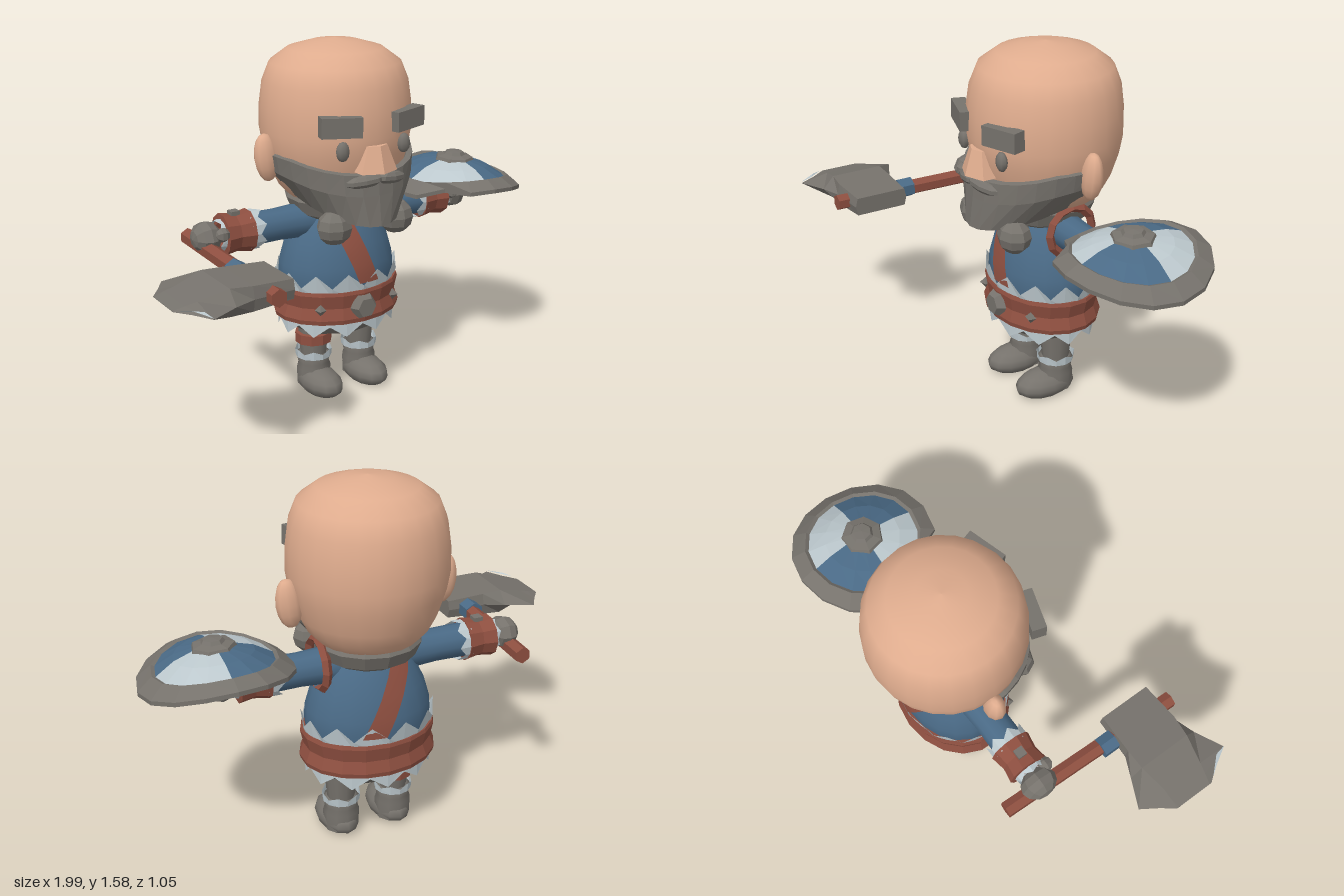
import * as THREE from 'three';

const CX = 0.04, CZ = -0.2; // body axis
const mat = (name, color) => new THREE.MeshStandardMaterial({ name, color, side: THREE.DoubleSide });
const V2 = (pts) => pts.map(([x, y]) => new THREE.Vector2(x, y));

// faceted copy of a geometry
function flat(geo) {
  const g = geo.index ? geo.toNonIndexed() : geo;
  g.computeVertexNormals();
  return g;
}
function lathe(pts, seg, start = 0, len = Math.PI * 2) {
  return new THREE.LatheGeometry(V2(pts), seg, start, len);
}
// surface through rows of points
function grid(rows, closed = false) {
  const n = rows[0].length, idx = [];
  for (let i = 0; i < rows.length - 1; i++) {
    for (let j = 0; j < (closed ? n : n - 1); j++) {
      const a = i * n + j, b = i * n + (j + 1) % n;
      idx.push(a, b, a + n, b, b + n, a + n);
    }
  }
  const g = new THREE.BufferGeometry();
  g.setAttribute('position', new THREE.Float32BufferAttribute(rows.flat(2), 3));
  g.setIndex(idx);
  g.computeVertexNormals();
  return g;
}
// ring whose second edge is a row of teeth
function zigzag(n, r0, y0, r1, yLow, yTip) {
  const edge = [], teeth = [];
  for (let i = 0; i < n * 2; i++) {
    const a = i * Math.PI / n, s = Math.sin(a), c = Math.cos(a);
    edge.push([r0 * s, y0, r0 * c]);
    teeth.push([r1 * s, i % 2 ? yTip : yLow, r1 * c]);
  }
  return flat(grid([edge, teeth], true));
}
function warp(geo, fn) {
  const p = geo.attributes.position, v = new THREE.Vector3();
  for (let i = 0; i < p.count; i++) {
    fn(v.fromBufferAttribute(p, i));
    p.setXYZ(i, v.x, v.y, v.z);
  }
  geo.computeVertexNormals();
  return geo;
}

export function createModel() {
  const model = new THREE.Group();
  model.name = 'warrior';
  const skin = mat('skin', 0xdfac8e), grey = mat('grey', 0x76726c), blue = mat('blue', 0x4a6a86);
  const brown = mat('brown', 0x8e4f40), silver = mat('silver', 0xbcc8cd);
  const add = (name, geo, m, x = 0, y = 0, z = 0, parent = model) => {
    const mesh = new THREE.Mesh(geo, m);
    mesh.name = name;
    mesh.position.set(x, y, z);
    parent.add(mesh);
    return mesh;
  };

  // head
  add('head', lathe([[0, 0.86], [0.17, 0.87], [0.22, 0.92], [0.255, 0.96], [0.285, 1.02], [0.315, 1.12], [0.328, 1.2],
    [0.326, 1.3], [0.312, 1.4], [0.28, 1.48], [0.205, 1.535], [0.1, 1.565], [0, 1.577]], 24), skin, CX, 0, CZ);
  add('nose', flat(new THREE.CylinderGeometry(0.055, 0.1, 0.11, 6).scale(1, 1, 0.72)), skin, CX, 1.122, 0.108);
  for (const s of [-1, 1]) {
    const ear = add('ear', new THREE.SphereGeometry(1, 10, 8).scale(0.055, 0.105, 0.042), skin, CX + s * 0.335, 1.1, -0.208);
    ear.rotation.z = -s * 0.12;
    const brow = add('eyebrow', flat(new THREE.BoxGeometry(0.172, 0.083, 0.06)), grey, CX + s * 0.16, 1.267, 0.098);
    brow.rotation.set(0, s * 0.3, s * 0.03);
    add('eye', new THREE.SphereGeometry(1, 8, 6).scale(0.032, 0.042, 0.022), grey, CX + s * 0.15, 1.163, 0.098);
    const tache = add('moustache', flat(new THREE.SphereGeometry(1, 8, 5).scale(0.085, 0.027, 0.03)), grey, CX + s * 0.065, 1.035, 0.132);
    tache.rotation.set(0, s * 0.25, -s * 0.1);
    add('braid', flat(new THREE.SphereGeometry(1, 8, 6).scale(0.08, 0.075, 0.07)), grey, CX + s * 0.155, 0.828, 0.04);
  }

  // beard wrapped from ear to ear
  const beard = [[], [], [], [], []];
  for (let i = 0; i <= 14; i++) {
    const a = (i / 14 * 2 - 1) * 1.62, s = Math.sin(a), c = Math.cos(a), k = 1 - Math.max(c, 0);
    const top = 1.055 + 0.06 * Math.min(1, k * 1.5), low = 0.838 + 0.1 * k;
    beard[0].push([0.31 * s, top + 0.005, 0.31 * c]);
    beard[1].push([0.331 * s, top, 0.336 * c]);
    beard[2].push([0.318 * s, (top + low) / 2 + 0.02, 0.345 * c]);
    beard[3].push([0.225 * s, low, 0.36 * c]);
    beard[4].push([0, 0.86, 0]);
  }
  add('beard', flat(grid(beard)), grey, CX, 0, CZ);
  add('collar', flat(lathe([[0.15, 0.81], [0.2, 0.84], [0.225, 0.9], [0.2, 0.94]], 14)), grey, CX, 0, CZ);

  // torso and skirt
  const body = new THREE.Group();
  body.name = 'body';
  body.position.set(CX, 0, CZ);
  body.scale.z = 0.81;
  model.add(body);
  const torso = [[0.262, 0.48], [0.27, 0.55], [0.266, 0.61], [0.24, 0.7], [0.19, 0.8], [0.12, 0.88]];
  add('tunic', lathe(torso, 20), blue, 0, 0, 0, body);
  add('upperTrim', zigzag(12, 0.27, 0.49, 0.285, 0.535, 0.595), silver, 0, 0, 0, body);
  add('belt', flat(lathe([[0.24, 0.365], [0.29, 0.37], [0.295, 0.39], [0.276, 0.44], [0.29, 0.5], [0.285, 0.515], [0.25, 0.51]], 18)),
    brown, 0, 0, 0, body);
  add('lowerTrim', zigzag(11, 0.27, 0.39, 0.272, 0.355, 0.305), silver, 0, 0, 0, body);
  add('skirt', flat(lathe([[0, 0.31], [0.13, 0.29], [0.19, 0.295], [0.25, 0.34], [0.265, 0.39]], 16)), grey, 0, 0, 0, body);

  // belt buckle and studs
  add('buckle', flat(new THREE.CylinderGeometry(0.045, 0.066, 0.035, 6).rotateX(Math.PI / 2).rotateZ(Math.PI / 6)), grey, CX, 0.44, 0.04);
  for (const s of [-1, 1]) {
    const stud = add('beltStud', flat(new THREE.OctahedronGeometry(0.026)), grey, CX + s * 0.187, 0.44, -0.025);
    stud.rotation.y = s * 0.6;
  }

  // diagonal strap following the tunic, front and back
  const radiusAt = (y) => {
    const i = Math.max(1, torso.findIndex((p) => p[1] >= y)), [r0, y0] = torso[i - 1], [r1, y1] = torso[i];
    return r0 + (r1 - r0) * (y - y0) / (y1 - y0);
  };
  for (const side of [1, -1]) {
    const rows = [];
    for (let i = 0; i <= 8; i++) {
      const t = i / 8, y = 0.865 - 0.32 * t;
      const mid = side > 0 ? -0.085 + 0.115 * t : -0.11 + 0.17 * t;
      rows.push([-0.05, 0, 0.05].map((w) => {
        const r = radiusAt(y) + 0.014, x = Math.max(-r, Math.min(r, mid + w));
        return [x, y, side * Math.sqrt(r * r - x * x)];
      }));
    }
    add('chestStrap', grid(rows), brown, 0, 0, 0, body);
  }
  add('shoulderStrap', flat(new THREE.TorusGeometry(0.105, 0.02, 4, 12).rotateY(Math.PI / 2)), brown, CX + 0.215, 0.815, CZ);

  // arms, built pointing up and laid outward
  for (const s of [-1, 1]) {
    const arm = new THREE.Group();
    arm.name = s < 0 ? 'rightArm' : 'leftArm';
    arm.position.set(CX, 0.803, CZ);
    arm.rotation.z = -s * Math.PI / 2;
    model.add(arm);
    add('sleeve', lathe([[0.085, 0.08], [0.076, 0.2], [0.07, 0.3], [0.072, 0.44]], 12), blue, 0, 0, 0, arm);
    add('cuffTrim', zigzag(7, 0.086, 0.45, 0.086, 0.415, 0.385), silver, 0, 0, 0, arm);
    add('bracer', flat(lathe([[0.06, 0.43], [0.092, 0.435], [0.08, 0.5], [0.09, 0.56], [0.05, 0.565]], 10)), brown, 0, 0, 0, arm);
    add('handTrim', zigzag(6, 0.07, 0.555, 0.065, 0.575, 0.59), silver, 0, 0, 0, arm);
    add('bracerStud', flat(new THREE.BoxGeometry(0.02, 0.04, 0.04)), grey, s * -0.085, 0.5, 0, arm);
    add('hand', flat(new THREE.SphereGeometry(1, 8, 6).scale(0.07, 0.063, 0.08)), grey, 0, 0.63, 0, arm);
    add('thumb', flat(new THREE.SphereGeometry(0.032, 6, 5)), grey, s * -0.02, 0.585, 0.065, arm);
  }

  // legs and boots
  for (const s of [-1, 1]) {
    const leg = new THREE.Group();
    leg.name = s < 0 ? 'rightLeg' : 'leftLeg';
    leg.position.set(CX + s * 0.121, 0, CZ);
    model.add(leg);
    add('trouser', lathe([[0.058, 0.15], [0.064, 0.22], [0.072, 0.34]], 10), grey, 0, 0, 0, leg);
    const foot = warp(new THREE.SphereGeometry(1, 12, 8), (v) => {
      v.set(v.x * 0.086, Math.max(0, 0.045 + v.y * 0.066), 0.053 + v.z * 0.145);
    });
    add('foot', foot, grey, 0, 0, 0, leg);
    add('bootShaft', lathe([[0.075, 0.02], [0.078, 0.1], [0.07, 0.125], [0.078, 0.165], [0.06, 0.17]], 10), grey, 0, 0, 0, leg);
    add('bootTrim', zigzag(6, 0.08, 0.155, 0.083, 0.18, 0.197), silver, 0, 0, 0, leg);
    if (s < 0) add('kneeBand', flat(lathe([[0.06, 0.225], [0.083, 0.227], [0.083, 0.272], [0.06, 0.276]], 10)), brown, 0, 0, 0, leg);
  }

  // bent round shield with a chipped rim
  const shield = new THREE.Group();
  shield.name = 'shield';
  shield.position.set(0.68, 0.945, -0.19);
  shield.rotation.set(0.05, 0, -0.04);
  model.add(shield);
  const bend = (g) => flat(warp(g, (v) => {
    const r = Math.hypot(v.x, v.z);
    if (r > 0.24 && Math.abs(Math.atan2(v.z, v.x) - Math.PI * 0.75) < 0.1) { v.x *= 0.245 / r; v.z *= 0.245 / r; }
    v.y -= 0.6 * v.x * v.x;
  }));
  for (let q = 0; q < 4; q++) {
    add('shieldQuarter', bend(lathe([[0.245, -0.025], [0.16, 0.008], [0.07, 0.025]], 4, q * Math.PI / 2, Math.PI / 2)),
      q % 2 ? silver : blue, 0, 0, 0, shield);
  }
  add('shieldRim', bend(lathe([[0, 0.0], [0.15, -0.02], [0.28, -0.06], [0.312, -0.06], [0.312, -0.042], [0.25, -0.012], [0.235, -0.022]], 16)),
    grey, 0, 0, 0, shield);
  add('shieldBoss', flat(lathe([[0.092, 0.015], [0.085, 0.032], [0.05, 0.04], [0.04, 0.054], [0, 0.057]], 7)), grey, 0, 0, 0, shield);

  // axe held forward in the right hand
  const axe = new THREE.Group();
  axe.name = 'axe';
  axe.position.set(0, 0.762, 0);
  model.add(axe);
  const shaft = add('axeShaft', flat(new THREE.CylinderGeometry(0.036, 0.036, 0.84, 6).rotateX(Math.PI / 2)), brown, -0.607, 0, 0.05, axe);
  shaft.rotation.y = -0.03;
  add('axeFerrule', flat(new THREE.CylinderGeometry(0.046, 0.046, 0.07, 6).rotateX(Math.PI / 2)), blue, -0.617, 0, 0.135, axe);
  // sections: x, low z, high z, half thickness, bevel
  const sections = [[-0.525, 0.17, 0.42, 0.04, 0.01], [-0.7, 0.165, 0.43, 0.05, 0.01], [-0.79, 0.125, 0.46, 0.055, 0.05],
    [-0.91, 0.07, 0.52, 0.024, 0.13], [-0.955, 0.14, 0.44, 0.013, 0.06], [-1, 0.2, 0.38, 0.001, 0.01]];
  const blade = sections.map(([x, a, b, h, i]) =>
    [[x, 0, a], [x, h, a + i], [x, h, b - i], [x, 0, b], [x, -h, b - i], [x, -h, a + i]]);
  const cap = (row, x) => row.map(() => [x, 0, 0.29]);
  add('axeBlade', flat(grid([cap(blade[0], -0.525), ...blade, cap(blade[5], -1)], true)), grey, 0, 0, 0, axe);
  // bright chip on the front corner of the blade
  const chip = [[[-0.91, 0.006, 0.522], [-0.955, 0.016, 0.442]], [[-0.92, 0.014, 0.47], [-0.985, 0.008, 0.4]]];
  add('bladeChip', flat(grid(chip)), silver, 0, 0, 0, axe);

  return model;
}
